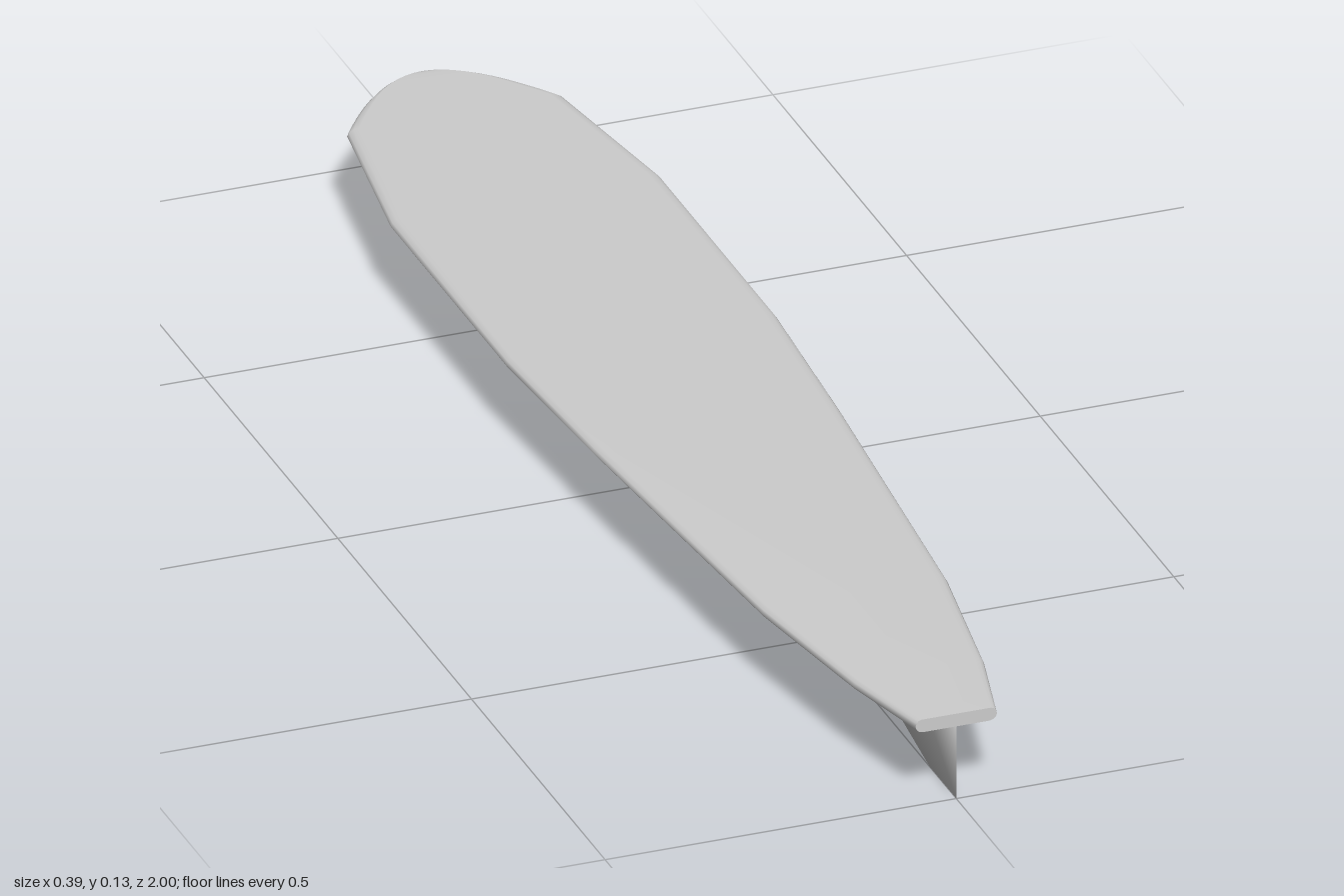
import * as THREE from 'three';

const material = new THREE.MeshStandardMaterial({ color: 0xcccccc });

function meshFrom(positions, index, name) {
  const geometry = new THREE.BufferGeometry();
  geometry.setAttribute('position', new THREE.Float32BufferAttribute(positions, 3));
  geometry.setIndex(index);
  geometry.computeVertexNormals();
  const mesh = new THREE.Mesh(geometry, material);
  mesh.name = name;
  return mesh;
}

// Board: rounded-rail cross-sections lofted from the nose (-z) to the cut tail (+z)
function createBoard() {
  const stations = []; // [z, half width]
  const noseSteps = 10;
  for (let i = 0; i <= noseSteps; i++) {
    const s = i / noseSteps;
    stations.push([-1 + 0.125 * s * s, 0.154 * s]);
  }
  stations.push([-0.61, 0.193], [-0.18, 0.193], [0.1, 0.175], [0.62, 0.132], [0.86, 0.093], [1, 0.058]);

  // Rail profile from deck to underside: [inset, y]
  const rail = [[0.018, 0.127], [0.009, 0.1255], [0.003, 0.122], [0, 0.1175],
    [0.003, 0.113], [0.01, 0.1095], [0.022, 0.108]];
  const n = rail.length * 2;
  const positions = [], index = [];
  for (const [z, w] of stations) {
    const fit = Math.min(1, w / 0.12); // tighter rails where the board narrows
    for (const [inset, y] of rail) positions.push(w - inset * fit, y, z);
    for (const [inset, y] of [...rail].reverse()) positions.push(-w + inset * fit, y, z);
  }
  for (let s = 0; s < stations.length - 1; s++) {
    for (let k = 0; k < n; k++) {
      const a = s * n + k, b = s * n + (k + 1) % n;
      index.push(a, b + n, b, a, a + n, b + n);
    }
  }
  // Flat tail end, on its own copy of the last section so its rim stays sharp
  const cap = stations.length * n;
  positions.push(...positions.slice(-n * 3));
  for (let k = 1; k < n - 1; k++) index.push(cap, cap + k + 1, cap + k);
  return meshFrom(positions, index, 'board');
}

// Fin: thickest at the root, tapering to thin leading, trailing and lower edges
function createFin() {
  const top = 0.109;
  const positions = [
    0, top, 0.34,     // 0 leading point
    0.012, top, 0.9,  // 1 left root
    -0.012, top, 0.9, // 2 right root
    0, top, 1,        // 3 trailing root
    0, 0, 0.9,        // 4 lower front
    0, 0, 1,          // 5 lower rear
  ];
  const index = [
    0, 1, 4, 1, 3, 5, 1, 5, 4, // left side
    0, 4, 2, 2, 5, 3, 2, 4, 5, // right side
  ];
  return meshFrom(positions, index, 'fin');
}

export function createModel() {
  const group = new THREE.Group();
  group.name = 'finnedBoard';
  group.add(createBoard(), createFin());
  return group;
}
